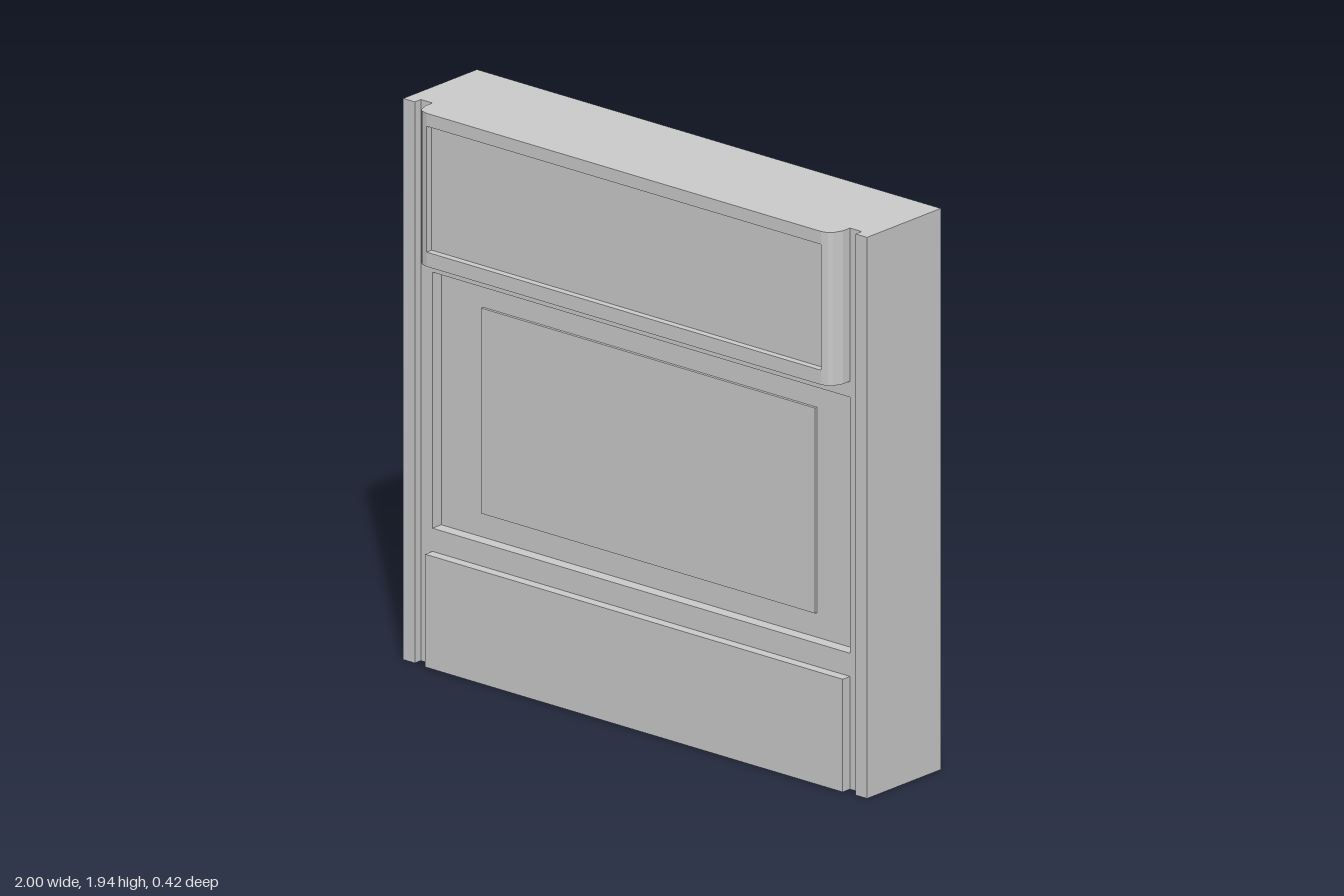
import * as THREE from 'three';

const material = new THREE.MeshStandardMaterial({ color: 0xcccccc, flatShading: true });

const HEIGHT = 1.94;
const BACK = -0.21;     // rear face
const RECESS = 0.08;    // floor of the middle recess
const FRAME = 0.124;    // frame and groove level
const STRIP = 0.154;    // outer strips
const FRONT = 0.21;     // front of the upper panel

function add(parent, name, geometry) {
  const mesh = new THREE.Mesh(geometry, material);
  mesh.name = name;
  parent.add(mesh);
  return mesh;
}

// Box given by its limits on each axis
function block(parent, name, x0, x1, y0, y1, z0, z1) {
  const geometry = new THREE.BoxGeometry(x1 - x0, y1 - y0, z1 - z0);
  geometry.translate((x0 + x1) / 2, (y0 + y1) / 2, (z0 + z1) / 2);
  return add(parent, name, geometry);
}

function rectangle(PathType, x0, x1, y0, y1) {
  return new PathType([[x0, y0], [x1, y0], [x1, y1], [x0, y1]].map(p => new THREE.Vector2(...p)));
}

export function createModel() {
  const model = new THREE.Group();
  model.name = 'panelledBlock';

  // Main body and the plate whose opening forms the middle recess
  block(model, 'body', -1, 1, 0, HEIGHT, BACK, RECESS);
  const plate = rectangle(THREE.Shape, -1, 1, 0, HEIGHT);
  plate.holes.push(rectangle(THREE.Path, -0.9, 0.9, 0.47, 1.355));
  const plateGeometry = new THREE.ExtrudeGeometry(plate, { depth: FRAME - RECESS, bevelEnabled: false });
  plateGeometry.translate(0, 0, RECESS);
  add(model, 'recessFrame', plateGeometry);

  // Slightly raised field in the recess, and the lower panel
  block(model, 'middleField', -0.72, 0.72, 0.555, 1.265, RECESS, RECESS + 0.01);
  block(model, 'lowerPanel', -0.9, 0.9, 0, 0.39, FRAME, 0.16);

  // Upper panel: sunk field between two rails and two rounded stiles
  const upper = new THREE.Group();
  upper.name = 'upperPanel';
  model.add(upper);
  const bottom = 1.41;
  block(upper, 'upperField', -0.85, 0.85, bottom, HEIGHT, FRAME, 0.185);
  block(upper, 'lowerRail', -0.85, 0.85, bottom, 1.46, 0.185, FRONT);
  block(upper, 'upperRail', -0.85, 0.85, 1.895, HEIGHT, 0.185, FRONT);

  for (const side of [-1, 1]) {
    const name = side > 0 ? 'left' : 'right';
    // Outer edge strip beside the vertical groove
    block(model, name + 'Strip', side * 0.975 - 0.025, side * 0.975 + 0.025, 0, HEIGHT, FRAME, STRIP);

    // Stile section in x and -z, stood upright after extrusion
    const section = [[0.85, FRAME], [0.9, FRAME], [0.9, 0.158], [0.887, 0.194], [0.875, 0.204], [0.85, FRONT]];
    const shape = new THREE.Shape(section.map(([x, z]) => new THREE.Vector2(side * x, -z)));
    const geometry = new THREE.ExtrudeGeometry(shape, { depth: HEIGHT - bottom, bevelEnabled: false });
    geometry.rotateX(-Math.PI / 2);
    geometry.translate(0, bottom, 0);
    add(upper, name + 'Stile', geometry);
  }

  return model;
}
